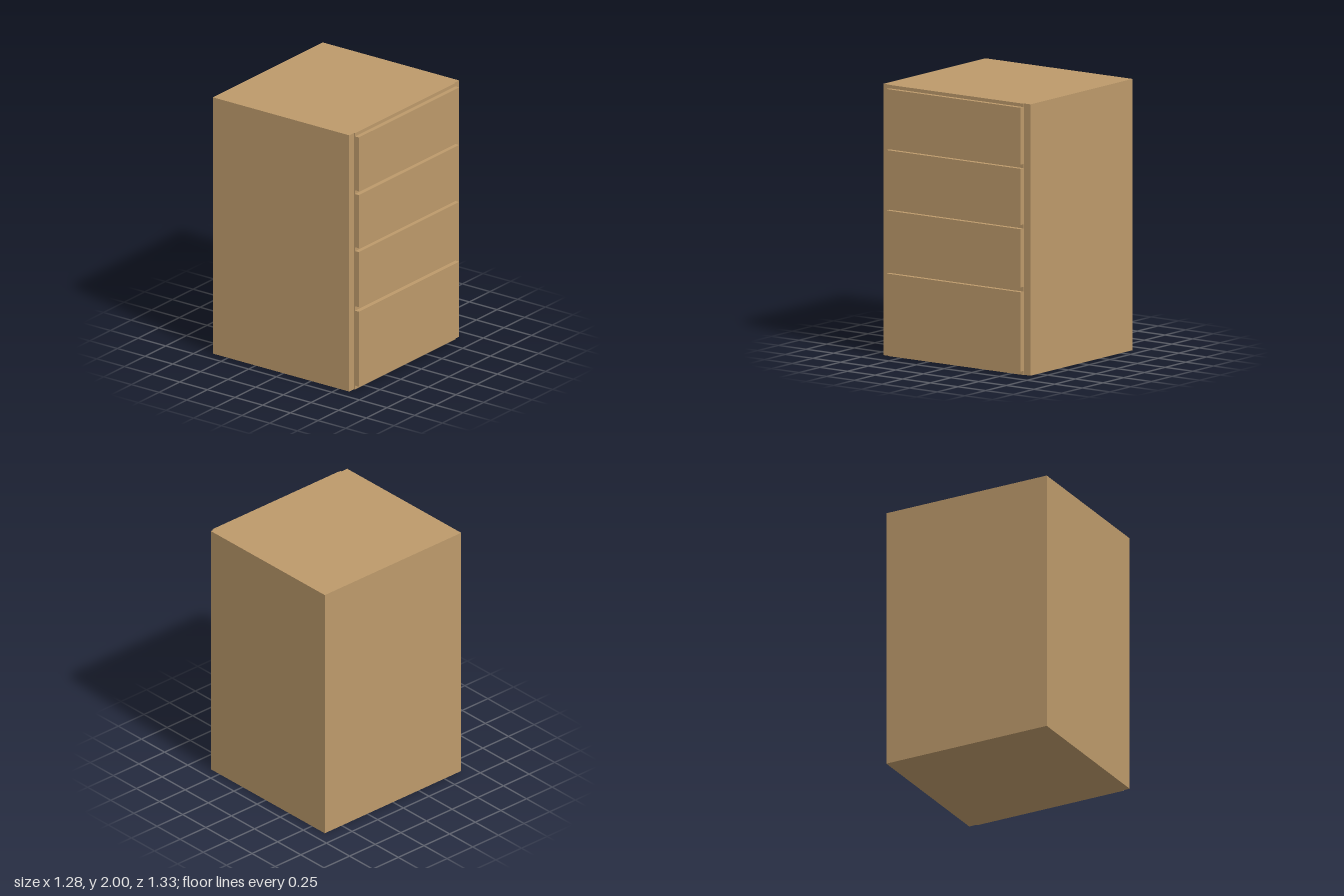
import * as THREE from 'three';

export function createModel() {
  const group = new THREE.Group();
  const wood = new THREE.MeshStandardMaterial({ color: 0xbd9a6b });
  wood.name = 'wood';

  // Box given by its lower and upper limits on each axis
  const addBox = (name, [x0, x1], [y0, y1], [z0, z1]) => {
    const mesh = new THREE.Mesh(new THREE.BoxGeometry(x1 - x0, y1 - y0, z1 - z0), wood);
    mesh.position.set((x0 + x1) / 2, (y0 + y1) / 2, (z0 + z1) / 2);
    mesh.name = name;
    group.add(mesh);
  };

  const opening = [-0.607, 0.607];

  // Cabinet body and the thin raised panel behind the drawers
  addBox('cabinetBody', [-0.638, 0.595], [0, 2], [-0.665, 0.665]);
  addBox('facePanel', [0.595, 0.604], [0, 2], opening);

  // Four drawer fronts on the +x side, bottom to top
  const drawers = [[0.03, 0.615], [0.65, 1.08], [1.11, 1.525], [1.555, 1.975]];
  drawers.forEach((span, i) => addBox(`drawerFront${i + 1}`, [0.604, 0.638], span, opening));

  return group;
}
